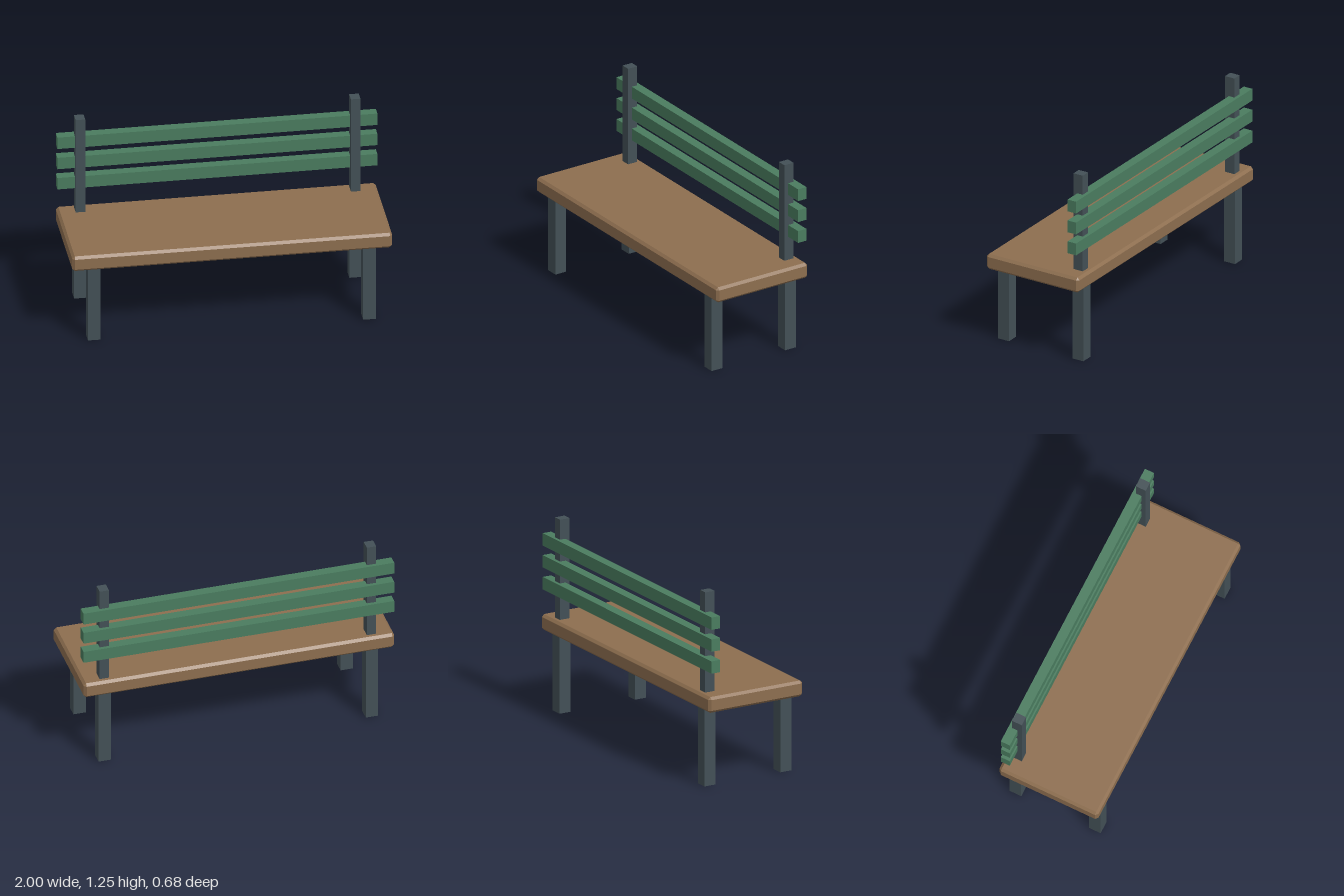
import * as THREE from 'three';
import { ConvexGeometry } from 'three/addons/geometries/ConvexGeometry.js';

const wood = new THREE.MeshStandardMaterial({ color: 0x8d6e4f });
const paint = new THREE.MeshStandardMaterial({ color: 0x4a7c5f });
const iron = new THREE.MeshStandardMaterial({ color: 0x435056 });

// Box with every edge cut by one flat chamfer
function chamferedBox(w, h, d, c) {
  const points = [];
  for (const sx of [-1, 1]) for (const sy of [-1, 1]) for (const sz of [-1, 1]) {
    for (const face of [0, 1, 2]) {
      const inset = [c, c, c];
      inset[face] = 0;
      points.push(new THREE.Vector3(
        sx * (w / 2 - inset[0]), sy * (h / 2 - inset[1]), sz * (d / 2 - inset[2])));
    }
  }
  return new ConvexGeometry(points);
}

export function createModel() {
  const bench = new THREE.Group();
  bench.name = 'bench';

  const add = (name, geometry, material, x, y, z) => {
    const mesh = new THREE.Mesh(geometry, material);
    mesh.name = name;
    mesh.position.set(x, y, z);
    bench.add(mesh);
  };

  // Seat board
  add('seat', chamferedBox(2, 0.102, 0.68, 0.016), wood, 0, 0.553, 0);

  // Legs and back posts, mirrored left and right
  const leg = new THREE.BoxGeometry(0.08, 0.503, 0.08);
  const post = new THREE.BoxGeometry(0.06, 0.65, 0.068);
  for (const [side, s] of [['left', 1], ['right', -1]]) {
    add(side + 'FrontLeg', leg, iron, s * 0.86, 0.2515, 0.2735);
    add(side + 'BackLeg', leg, iron, s * 0.86, 0.2515, -0.2735);
    add(side + 'BackPost', post, iron, s * 0.86, 0.928, -0.269);
  }

  // Backrest slats, let into the rear of the posts
  const slat = new THREE.BoxGeometry(2, 0.08, 0.062);
  for (let i = 0; i < 3; i++) {
    add('backSlat' + (i + 1), slat, paint, 0, 0.8 + i * 0.142, -0.294);
  }

  return bench;
}
